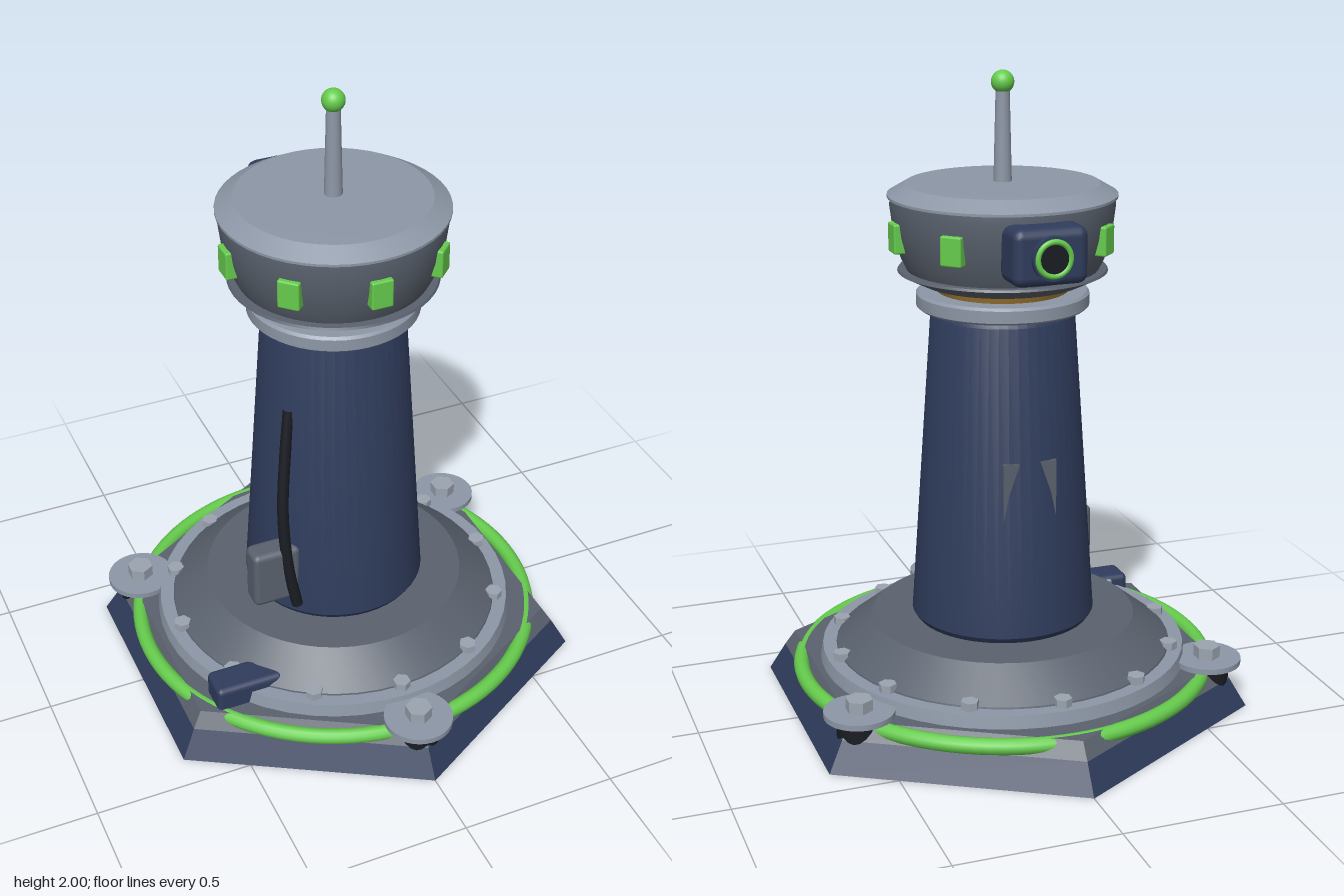
import * as THREE from 'three';
import { toCreasedNormals } from 'three/addons/utils/BufferGeometryUtils.js';
import { RoundedBoxGeometry } from 'three/addons/geometries/RoundedBoxGeometry.js';

const paint = (color, flatShading = false) => new THREE.MeshStandardMaterial({ color, flatShading });

export function createModel() {
  const model = new THREE.Group();
  const navy = paint(0x2f3c5c), navyFlat = paint(0x2f3c5c, true);
  const grey = paint(0x5a626e), greyFlat = paint(0x5a626e, true);
  const steel = paint(0x8d97a6), steelFlat = paint(0x9ba4b0, true);
  const green = paint(0x66cc4d), gold = paint(0xb58a3a), black = paint(0x191c22);

  const add = (name, geometry, material, x = 0, y = 0, z = 0, parent = model) => {
    const mesh = new THREE.Mesh(geometry, material);
    mesh.name = name;
    mesh.position.set(x, y, z);
    parent.add(mesh);
    return mesh;
  };
  // Turned part from [radius, height] pairs, bottom to top
  const turned = (name, points, material) => add(name, toCreasedNormals(
    new THREE.LatheGeometry(points.map(([r, y]) => new THREE.Vector2(r, y)), 48), 0.45), material);
  const cylinder = (top, bottom, h, sides = 32) => new THREE.CylinderGeometry(top, bottom, h, sides);
  const box = (w, h, d, bevel) => new RoundedBoxGeometry(w, h, d, 2, bevel);

  // Hexagonal base with a corner at the front
  add('basePlinth', cylinder(0.735, 0.79, 0.09, 6), navyFlat, 0, 0.045);
  add('baseDeck', cylinder(0.7, 0.735, 0.05, 6), greyFlat, 0, 0.115);

  // Glowing ring, buried at the corners of the base
  add('glowRing', new THREE.TorusGeometry(0.65, 0.025, 12, 96).rotateX(Math.PI / 2), green, 0, 0.117);

  // Stepped foundation
  turned('foundationFlange', [[0, 0.13], [0.59, 0.13], [0.58, 0.18], [0, 0.18]], steel);
  turned('foundationCone', [[0.54, 0.17], [0.535, 0.185], [0.42, 0.275], [0, 0.28]], grey);

  // Flange bolts
  for (let i = 0; i < 12; i++) {
    const a = i * Math.PI / 6;
    add('flangeBolt', cylinder(0.028, 0.028, 0.04, 6), steelFlat, 0.537 * Math.sin(a), 0.185, 0.537 * Math.cos(a))
      .rotation.y = a;
  }

  // Anchor feet on alternate corners
  for (let i = 0; i < 3; i++) {
    const foot = new THREE.Group(), a = i * Math.PI * 2 / 3;
    foot.name = 'anchorFoot';
    foot.position.set(0.66 * Math.sin(a), 0, 0.66 * Math.cos(a));
    add('anchorPost', cylinder(0.07, 0.07, 0.145, 24), black, 0, 0.0735, 0, foot);
    add('anchorWasher', cylinder(0.108, 0.108, 0.018), steel, 0, 0.154, 0, foot);
    add('anchorNut', cylinder(0.042, 0.042, 0.04, 6), steelFlat, 0, 0.18, 0, foot);
    model.add(foot);
  }

  // Small housing on the edge of the foundation
  add('baseHousing', box(0.22, 0.1, 0.11, 0.018), navy, -0.443, 0.165, 0.32);

  // Tapered tower
  turned('tower', [[0, 0.27], [0.277, 0.275], [0.29, 0.295], [0.223, 1.262], [0.21, 1.285], [0, 1.285]], navy);
  turned('collar', [[0, 1.283], [0.258, 1.283], [0.266, 1.29], [0.266, 1.327], [0.258, 1.335], [0, 1.335]], steel);
  turned('bearing', [[0.2, 1.33], [0.22, 1.37]], gold).material.side = THREE.DoubleSide;

  // Rear access panel, just breaking the tower surface
  add('rearPanel', new THREE.BoxGeometry(0.17, 0.3, 0.04), grey, 0, 0.7, -0.2295);

  // Junction box and cable
  add('junctionBox', box(0.16, 0.2, 0.085, 0.02), grey, -0.272, 0.445, 0.15);
  const path = new THREE.CatmullRomCurve3([[-0.2, 1.03, 0.12], [-0.222, 0.88, 0.14], [-0.244, 0.68, 0.168],
    [-0.238, 0.48, 0.19], [-0.215, 0.33, 0.205]].map(p => new THREE.Vector3(...p)));
  add('cable', new THREE.TubeGeometry(path, 32, 0.018, 10), black);

  // Head
  turned('headSkirt', [[0, 1.362], [0.25, 1.362], [0.322, 1.397], [0.318, 1.404], [0, 1.404]], grey);
  turned('headBody', [[0.29, 1.395], [0.312, 1.44], [0.333, 1.52], [0.343, 1.6], [0.34, 1.63], [0, 1.63]], grey);
  turned('headCap', [[0, 1.624], [0.35, 1.624], [0.35, 1.632], [0.295, 1.664], [0, 1.668]], steel);

  // Windows around the head
  for (let i = 0; i < 8; i++) {
    const a = i * Math.PI / 4;
    add('window', box(0.068, 0.09, 0.04, 0.006), green, 0.333 * Math.sin(a), 1.516, 0.333 * Math.cos(a))
      .rotation.y = a;
  }

  // Rear sensor
  add('sensorHousing', box(0.23, 0.17, 0.14, 0.03), navy, 0, 1.517, -0.355);
  add('sensorBarrel', cylinder(0.065, 0.065, 0.04).rotateX(Math.PI / 2), navy, 0, 1.517, -0.42);
  add('sensorRing', new THREE.TorusGeometry(0.05, 0.009, 8, 32), green, 0, 1.517, -0.439);
  add('sensorLens', cylinder(0.042, 0.042, 0.01).rotateX(Math.PI / 2), black, 0, 1.517, -0.439);

  // Antenna
  add('antennaMast', cylinder(0.021, 0.028, 0.29, 20), steel, 0, 1.805);
  add('antennaTip', new THREE.SphereGeometry(0.035, 24, 16), green, 0, 1.965);

  return model;
}
